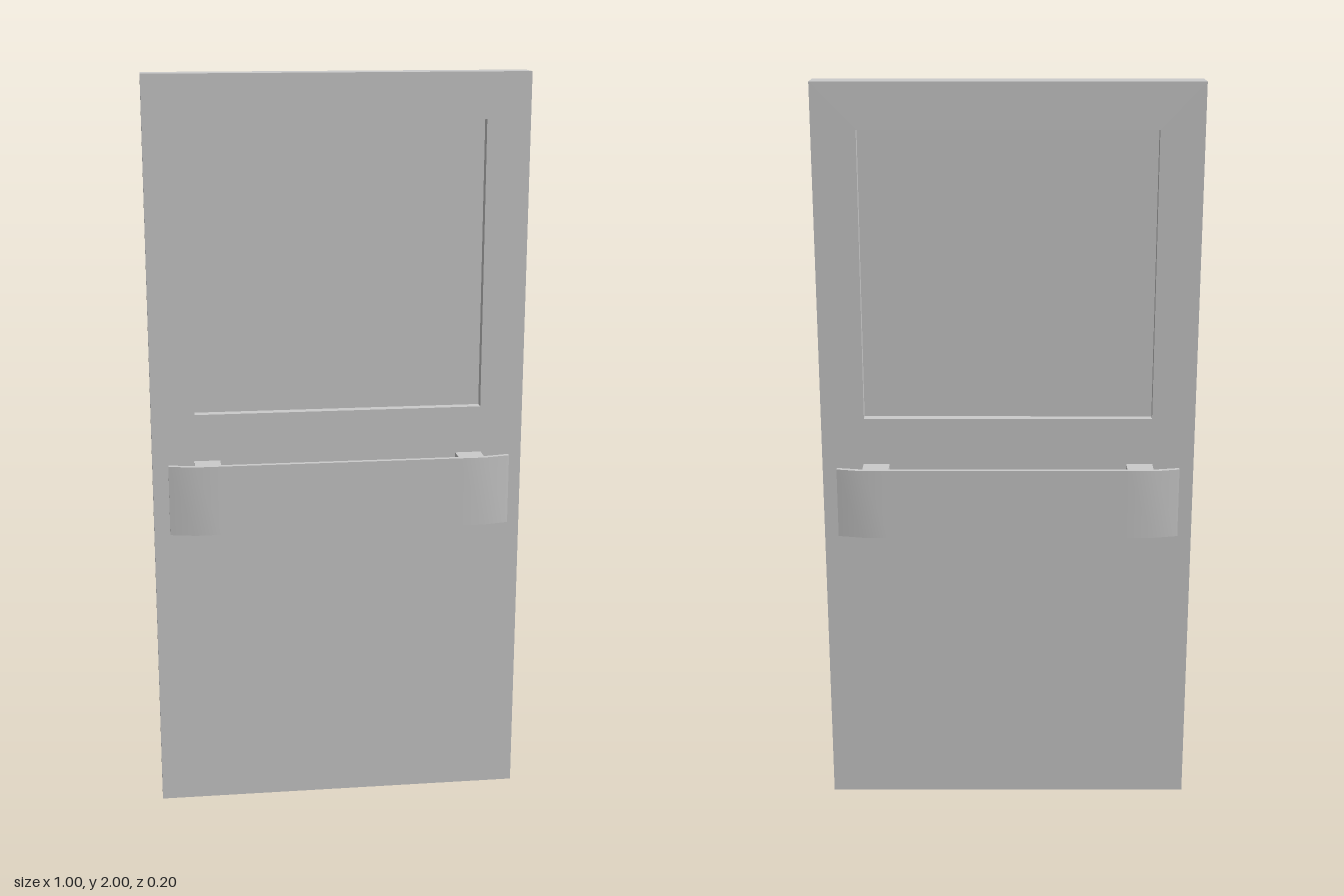
import * as THREE from 'three';
import { toCreasedNormals } from 'three/addons/utils/BufferGeometryUtils.js';

const material = new THREE.MeshStandardMaterial({ color: 0xcccccc });

function addMesh(parent, name, geometry, x = 0, y = 0, z = 0) {
  const mesh = new THREE.Mesh(geometry, material);
  mesh.name = name;
  mesh.position.set(x, y, z);
  parent.add(mesh);
  return mesh;
}

const points = (list) => list.map(([x, y]) => new THREE.Vector2(x, y));

export function createModel() {
  const door = new THREE.Group();
  door.name = 'door';
  const thickness = 0.078;

  // Door leaf with a window opening
  const outline = new THREE.Shape(points([[-0.5, 0], [0.5, 0], [0.5, 2], [-0.5, 2]]));
  const [side, low, high] = [0.385, 1.117, 1.88];
  outline.holes.push(new THREE.Path(points([[-side, low], [-side, high], [side, high], [side, low]])));
  const leaf = new THREE.ExtrudeGeometry(outline, { depth: thickness, bevelEnabled: false });
  addMesh(door, 'doorLeaf', leaf, 0, 0, -thickness / 2);

  // Recessed window pane
  addMesh(door, 'windowPane', new THREE.BoxGeometry(side * 2, high - low, 0.026), 0, (low + high) / 2, 0);

  // Push bar: a flat strip whose ends bend back towards the door
  const barTop = 0.99, barHeight = 0.19;
  const outer = [[0.32, 0.098], [0.39, 0.098], [0.458, 0.084]];
  const inner = [[0.458, 0.071], [0.39, 0.084], [0.32, 0.084]];
  const half = [...outer, ...inner];
  const mirrored = half.map(([x, z]) => [-x, z]).reverse();
  const strip = new THREE.ExtrudeGeometry(new THREE.Shape(points([...half, ...mirrored])), {
    depth: barHeight, bevelEnabled: false,
  });
  strip.rotateX(Math.PI / 2);
  const barGeometry = toCreasedNormals(strip, Math.PI / 6);

  // The same push bar and its two brackets on both faces
  for (const [label, angle] of [['front', 0], ['back', Math.PI]]) {
    const handle = new THREE.Group();
    handle.name = label + 'Handle';
    handle.rotation.y = angle;
    addMesh(handle, 'pushBar', barGeometry, 0, barTop, 0);
    for (const s of [-1, 1]) {
      addMesh(handle, s > 0 ? 'leftBracket' : 'rightBracket',
        new THREE.BoxGeometry(0.07, barHeight, 0.047), s * 0.354, barTop - barHeight / 2, 0.0615);
    }
    door.add(handle);
  }
  return door;
}
